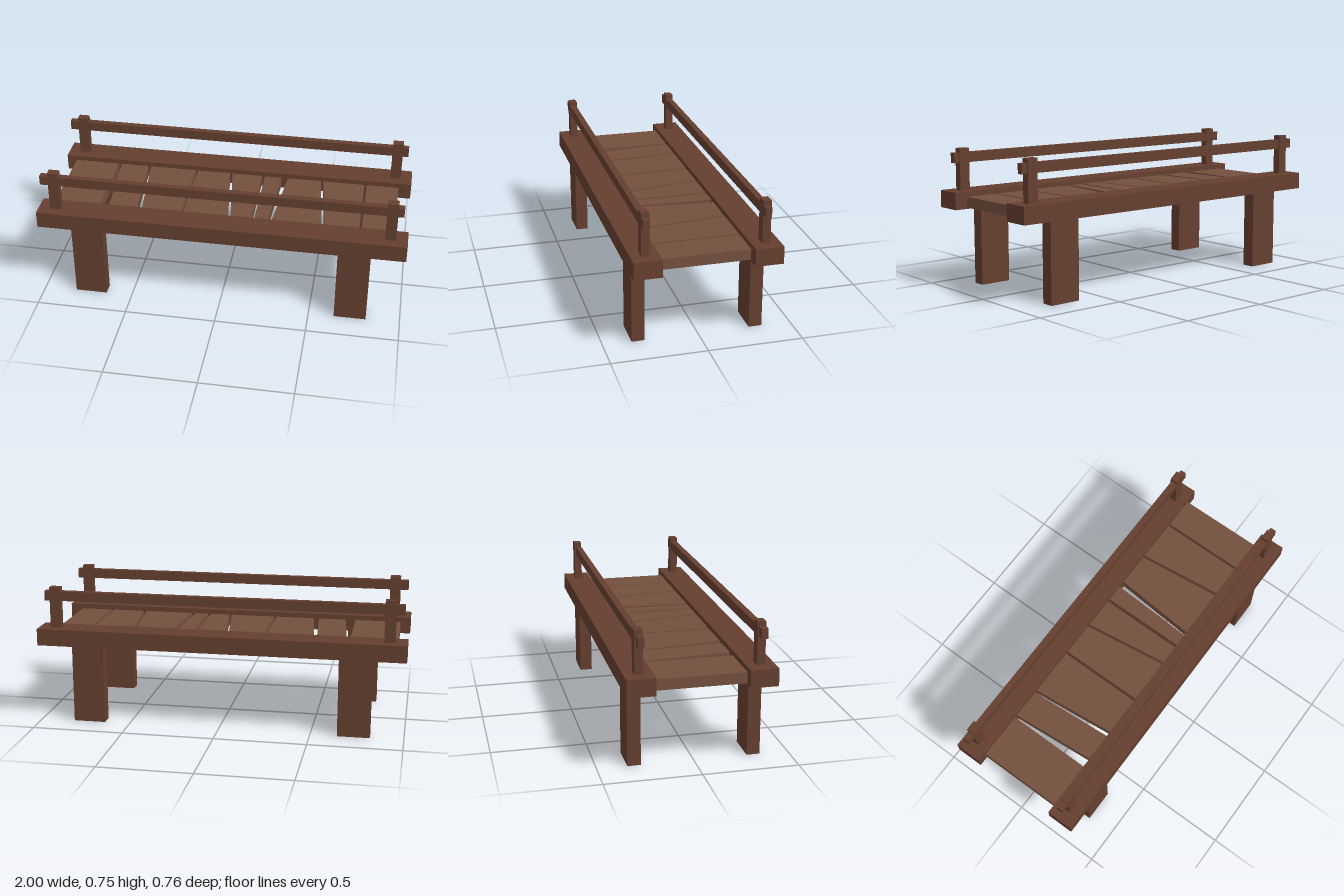
import * as THREE from 'three';

export function createModel() {
  const model = new THREE.Group();
  model.name = 'plankBridge';
  const darkWood = new THREE.MeshStandardMaterial({ color: 0x653f30 });
  const plankWood = new THREE.MeshStandardMaterial({ color: 0x74503f });

  // Box given by its extents along each axis
  const block = (name, [x0, x1], [y0, y1], [z0, z1]) => {
    const mesh = new THREE.Mesh(new THREE.BoxGeometry(x1 - x0, y1 - y0, z1 - z0), darkWood);
    mesh.position.set((x0 + x1) / 2, (y0 + y1) / 2, (z0 + z1) / 2);
    mesh.name = name;
    return mesh;
  };

  // Each long side: beam, two legs, two posts and a handrail
  const sides = [
    { name: 'front', beam: [0.235, 0.38], leg: [0.281, 0.35], post: [0.285, 0.327], rail: [0.29, 0.324] },
    { name: 'back', beam: [-0.38, -0.233], leg: [-0.344, -0.274], post: [-0.328, -0.286], rail: [-0.32, -0.287] },
  ];
  for (const s of sides) {
    const side = new THREE.Group();
    side.name = s.name + 'Side';
    side.add(block('beam', [-1, 1], [0.434, 0.526], s.beam));
    side.add(block('rightLeg', [-0.82, -0.645], [0, 0.436], s.leg));
    side.add(block('leftLeg', [0.64, 0.815], [0, 0.436], s.leg));
    side.add(block('rightPost', [-0.935, -0.877], [0.52, 0.75], s.post));
    side.add(block('leftPost', [0.879, 0.937], [0.52, 0.75], s.post));
    side.add(block('handrail', [-0.98, 0.968], [0.674, 0.727], s.rail));
    model.add(side);
  }

  // Deck planks with slanted edges: [back start, back end, front start, front end] in x
  const planks = [
    [-0.945, -0.69, -0.945, -0.69],
    [-0.675, -0.515, -0.635, -0.48],
    [-0.5, -0.235, -0.45, -0.235],
    [-0.22, -0.035, -0.22, 0.03],
    [-0.02, 0.152, 0.045, 0.152],
    [0.17, 0.265, 0.17, 0.242],
    [0.303, 0.49, 0.262, 0.54],
    [0.505, 0.738, 0.557, 0.738],
    [0.752, 0.93, 0.752, 0.93],
  ];
  const deck = new THREE.Group();
  deck.name = 'deck';
  const half = 0.238;
  planks.forEach(([b0, b1, f0, f1], i) => {
    // Outline drawn in x and -z, then laid flat
    const outline = new THREE.Shape([
      new THREE.Vector2(f0, -half), new THREE.Vector2(f1, -half),
      new THREE.Vector2(b1, half), new THREE.Vector2(b0, half),
    ]);
    const geometry = new THREE.ExtrudeGeometry(outline, { depth: 0.058, bevelEnabled: false });
    geometry.rotateX(-Math.PI / 2);
    const plank = new THREE.Mesh(geometry, plankWood);
    plank.position.y = 0.441;
    plank.name = 'plank' + (i + 1);
    deck.add(plank);
  });
  model.add(deck);
  return model;
}
